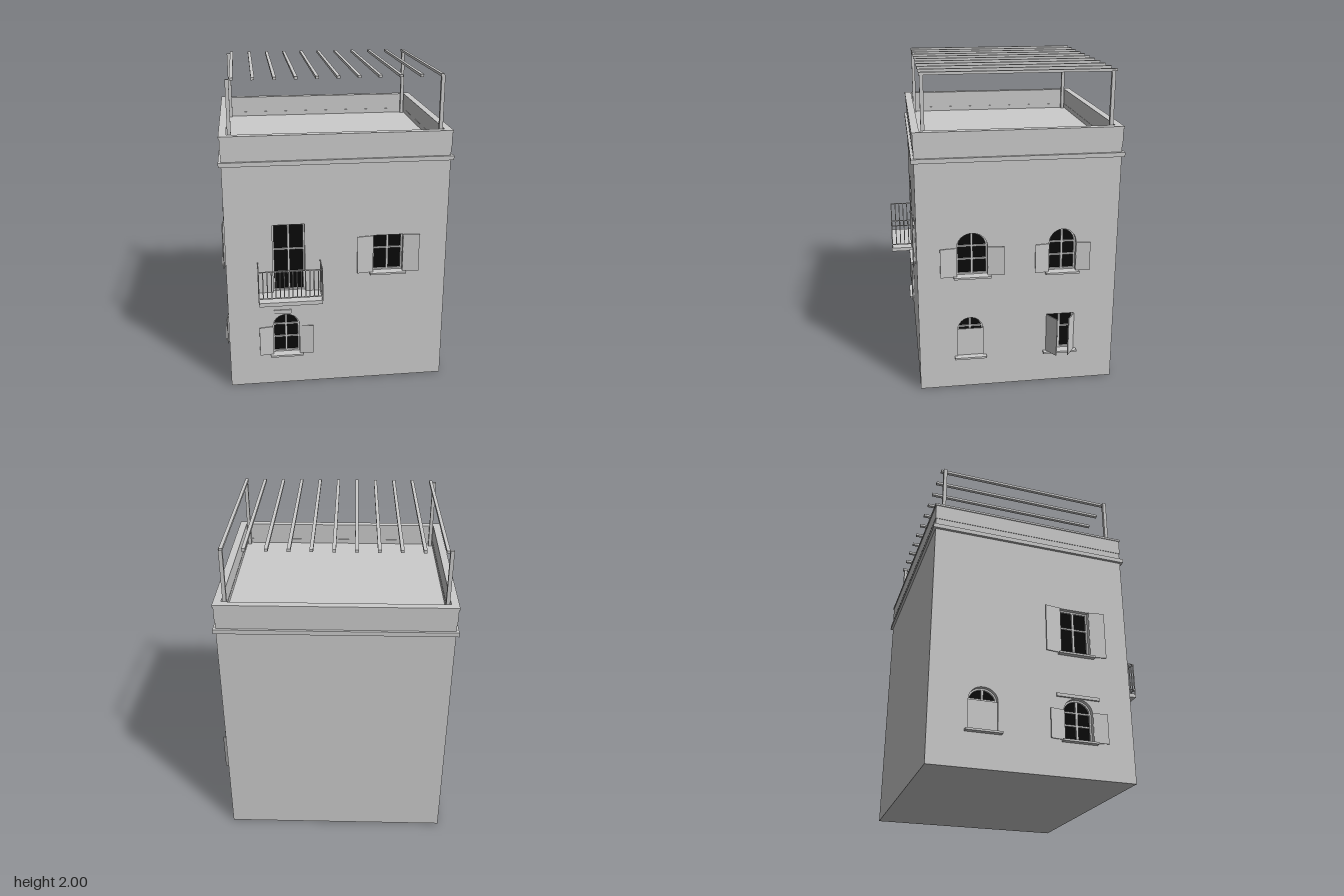
import * as THREE from 'three';

const X0 = -0.72, X1 = 0.67, Z0 = -0.69, Z1 = 0.55; // outer faces of the walls
const T = 0.04; // wall thickness
const WALL_TOP = 1.56;

export function createModel() {
  const plaster = new THREE.MeshStandardMaterial({ color: 0xcccccc });
  plaster.name = 'grey plaster';
  const glass = new THREE.MeshStandardMaterial({ color: 0x0a0a0a });
  glass.name = 'black glass';

  const model = new THREE.Group();
  model.name = 'house';

  function add(parent, name, geometry, material = plaster) {
    const mesh = new THREE.Mesh(geometry, material);
    mesh.name = name;
    parent.add(mesh);
    return mesh;
  }

  // box given by its minimum and maximum on each axis
  function box(parent, name, x0, x1, y0, y1, z0, z1) {
    const mesh = add(parent, name, new THREE.BoxGeometry(x1 - x0, y1 - y0, z1 - z0));
    mesh.position.set((x0 + x1) / 2, (y0 + y1) / 2, (z0 + z1) / 2);
    return mesh;
  }

  // outline of an opening: a rectangle, with an arch on top if rise > 0
  function outline(Type, w, inset = 0) {
    const a = w.u0 + inset, b = w.u1 - inset, p = new Type();
    p.moveTo(a, w.y0 + inset);
    p.lineTo(b, w.y0 + inset);
    if (w.rise) {
      p.lineTo(b, w.y1);
      p.absellipse((a + b) / 2, w.y1, (b - a) / 2, w.rise - inset, 0, Math.PI, false);
    } else {
      p.lineTo(b, w.y1 - inset);
      p.lineTo(a, w.y1 - inset);
    }
    p.closePath();
    return p;
  }

  // pair of shutters hinged at both sides; angle 0 is closed, PI is folded back
  function addShutters(parent, w) {
    const { angle, width, z = 0.004, top = w.y1 } = w.shutters;
    const h = top - w.y0;
    for (const [u, turn, side] of [[w.u0, -angle, 'left'], [w.u1, angle - Math.PI, 'right']]) {
      const g = new THREE.BoxGeometry(width, h, 0.006).translate(width / 2, h / 2, 0);
      const s = add(parent, side + 'Shutter', g);
      s.position.set(u, w.y0, z);
      s.rotation.y = turn;
    }
  }

  function addWindow(parent, w) {
    const group = new THREE.Group();
    group.name = w.name;
    parent.add(group);
    const mid = (w.u0 + w.u1) / 2, top = w.y1 + (w.rise || 0);

    add(group, 'pane', new THREE.ShapeGeometry(outline(THREE.Shape, w), 8), glass).position.z = -T + 0.002;

    const ring = outline(THREE.Shape, w);
    ring.holes.push(outline(THREE.Path, w, 0.01));
    add(group, 'frame', new THREE.ExtrudeGeometry(ring, { depth: 0.012, bevelEnabled: false, curveSegments: 8 }))
      .position.z = -T + 0.003;

    box(group, 'mullion', mid - 0.007, mid + 0.007, w.y0, top - 0.004, -T + 0.003, -T + 0.014);
    for (const y of w.bars) box(group, 'glazingBar', w.u0, w.u1, y - 0.005, y + 0.005, -T + 0.003, -T + 0.013);

    if (w.sill !== false) box(group, 'sill', w.u0 - 0.02, w.u1 + 0.02, w.y0 - 0.012, w.y0, -T, 0.032);
    if (w.shutters) addShutters(group, w);
  }

  // wall panel with openings; u runs to the right when facing the wall
  function addWall(name, u0, u1, rotation, position, windows) {
    const wall = new THREE.Group();
    wall.name = name;
    wall.rotation.y = rotation;
    wall.position.set(...position);
    model.add(wall);
    const s = new THREE.Shape();
    s.moveTo(u0, 0);
    s.lineTo(u1, 0);
    s.lineTo(u1, WALL_TOP);
    s.lineTo(u0, WALL_TOP);
    s.closePath();
    for (const w of windows) s.holes.push(outline(THREE.Path, w));
    const g = new THREE.ExtrudeGeometry(s, { depth: T, bevelEnabled: false, curveSegments: 8 });
    add(wall, name + 'Panel', g.translate(0, 0, -T));
    for (const w of windows) addWindow(wall, w);
    return wall;
  }

  const open = (width) => ({ angle: Math.PI * 0.96, width });
  const closed = (width) => ({ angle: 0, width, z: -0.012, top: 0.40 });

  const front = addWall('frontWall', X0, X1, 0, [0, 0, Z1], [
    { name: 'balconyDoor', u0: -0.43, u1: -0.23, y0: 0.655, y1: 1.105, bars: [0.78, 0.935], sill: false },
    { name: 'upperFrontWindow', u0: 0.20, u1: 0.39, y0: 0.765, y1: 1.01, bars: [0.915], shutters: open(0.103) },
    { name: 'lowerFrontWindow', u0: -0.44, u1: -0.27, y0: 0.217, y1: 0.415, rise: 0.08, bars: [0.325, 0.415], shutters: open(0.088) },
  ]);
  // on the right wall u = -z
  addWall('rightWall', -Z1 + T, -Z0 - T, Math.PI / 2, [X1, 0, 0], [
    { name: 'upperRightFrontWindow', u0: -0.31, u1: -0.12, y0: 0.765, y1: 0.95, rise: 0.09, bars: [0.865, 0.95], shutters: open(0.102) },
    { name: 'upperRightBackWindow', u0: 0.26, u1: 0.43, y0: 0.765, y1: 0.95, rise: 0.09, bars: [0.865, 0.95], shutters: open(0.088) },
    { name: 'lowerRightFrontWindow', u0: -0.31, u1: -0.15, y0: 0.217, y1: 0.40, rise: 0.08, bars: [0.41], shutters: closed(0.08) },
    { name: 'lowerRightBackWindow', u0: 0.255, u1: 0.43, y0: 0.217, y1: 0.47, bars: [0.37], shutters: { angle: 0.985, width: 0.094 } },
  ]);
  // on the left wall u = z
  const left = addWall('leftWall', Z0 + T, Z1 - T, -Math.PI / 2, [X0, 0, 0], [
    { name: 'upperLeftWindow', u0: 0.11, u1: 0.30, y0: 0.765, y1: 1.07, bars: [0.95], shutters: open(0.1) },
    { name: 'lowerLeftFrontWindow', u0: 0.115, u1: 0.295, y0: 0.217, y1: 0.40, rise: 0.08, bars: [0.32, 0.40], shutters: open(0.09) },
    { name: 'lowerLeftBackWindow', u0: -0.46, u1: -0.285, y0: 0.217, y1: 0.40, rise: 0.08, bars: [0.41], shutters: closed(0.0875) },
  ]);
  box(model, 'backWall', X0, X1, 0, WALL_TOP, Z0, Z0 + T);

  // small ledges above the lower windows
  box(front, 'frontLedge', -0.43, -0.32, 0.505, 0.53, -0.01, 0.008);
  box(left, 'leftLedge', 0.07, 0.34, 0.48, 0.50, -0.01, 0.012);

  // ground plate and roof terrace
  box(model, 'groundPlate', X0 + T, X1 - T, 0, 0.02, Z0 + T, Z1 - T);
  box(model, 'roofTerrace', X0 + 0.02, X1 - 0.02, 1.50, 1.53, Z0 + 0.02, Z1 - 0.02);

  // horizontal band around the house, standing out from the walls
  function band(name, out, y0, y1) {
    const rect = (p, m) => {
      p.moveTo(X0 - m, -Z1 - m);
      p.lineTo(X1 + m, -Z1 - m);
      p.lineTo(X1 + m, -Z0 + m);
      p.lineTo(X0 - m, -Z0 + m);
      p.closePath();
      return p;
    };
    const s = rect(new THREE.Shape(), out);
    s.holes.push(rect(new THREE.Path(), -T + 0.002));
    const g = new THREE.ExtrudeGeometry(s, { depth: y1 - y0, bevelEnabled: false });
    add(model, name, g.rotateX(-Math.PI / 2).translate(0, y0, 0));
  }
  band('cornice', 0.016, 1.485, 1.512);
  band('parapet', 0.003, 1.56, 1.655);
  band('parapetCoping', 0.008, 1.655, 1.668);

  // balcony
  const balcony = new THREE.Group();
  balcony.name = 'balcony';
  model.add(balcony);
  const bx0 = -0.525, bx1 = -0.135, bz = 0.695, r = 0.003;
  box(balcony, 'balconySlab', bx0, bx1, 0.63, 0.655, Z1, 0.70);
  for (const y of [0.683, 0.86]) {
    box(balcony, 'frontRail', bx0, bx1, y - r, y + r, bz - r, bz + r);
    for (const x of [bx0, bx1]) box(balcony, 'sideRail', x - r, x + r, y - r, y + r, Z1, bz);
  }
  const baluster = (x, z, y0) => box(balcony, 'baluster', x - r, x + r, y0, 0.86, z - r, z + r);
  for (let i = 0; i <= 15; i++) baluster(bx0 + (bx1 - bx0) * i / 15, bz, i % 15 ? 0.683 : 0.65);
  for (const x of [bx0, bx1]) for (let i = 1; i <= 4; i++) baluster(x, bz - 0.029 * i, 0.683);

  // pergola on the terrace
  const pergola = new THREE.Group();
  pergola.name = 'pergola';
  model.add(pergola);
  for (const x of [-0.664, 0.613])
    for (const z of [-0.632, 0.49])
      box(pergola, 'pergolaPost', x - 0.011, x + 0.011, 1.53, 1.99, z - 0.011, z + 0.011);
  for (let i = 0; i < 11; i++) {
    const x = -0.64 + 0.1248 * i;
    box(pergola, 'pergolaBeam', x - 0.01, x + 0.01, 1.984, 2, -0.655, 0.505);
  }

  // centre the whole on x and z
  const size = new THREE.Box3().setFromObject(model);
  const c = size.getCenter(new THREE.Vector3());
  model.position.set(-c.x, 0, -c.z);
  const root = new THREE.Group();
  root.name = 'townHouse';
  root.add(model);
  return root;
}
